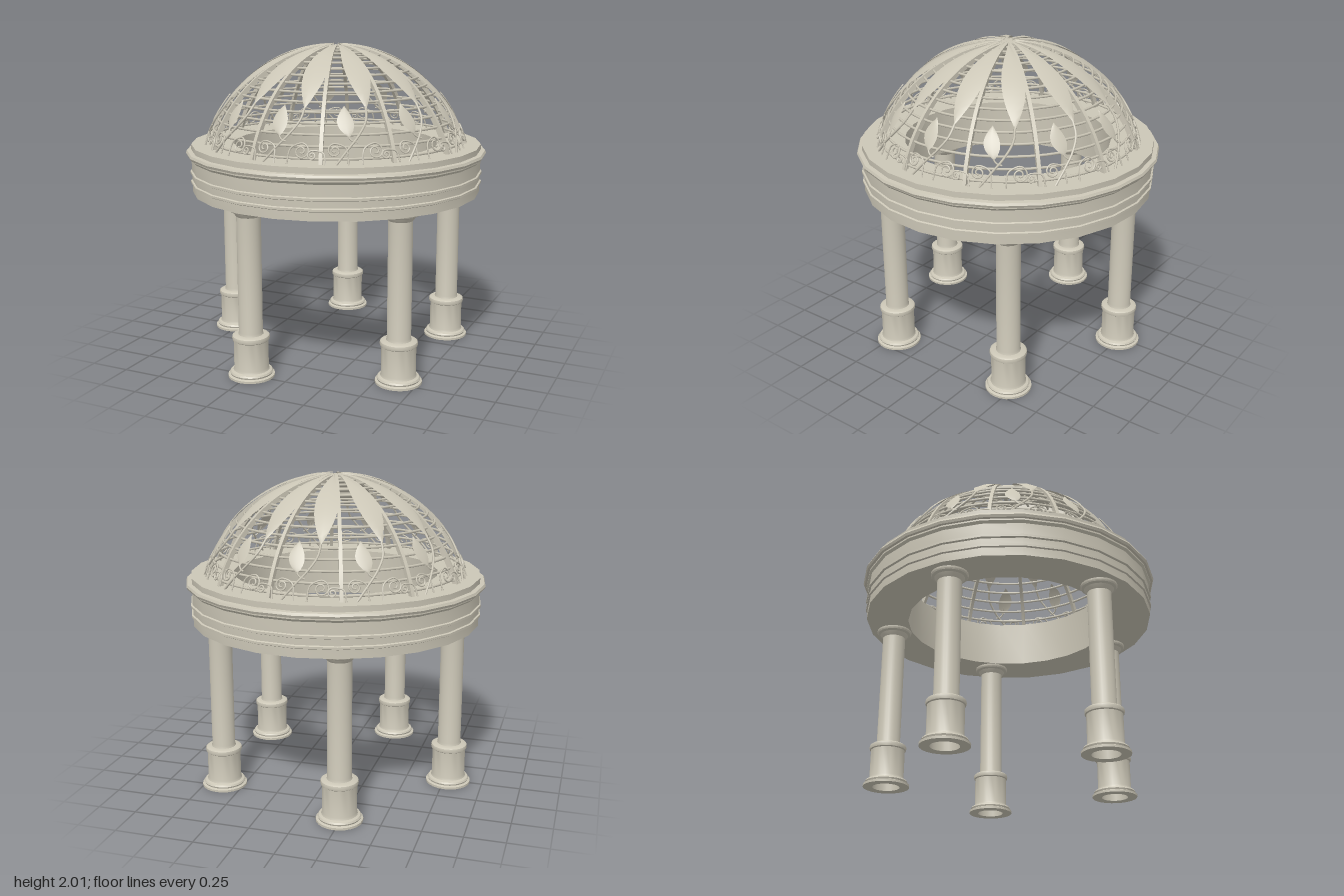
import * as THREE from 'three';
import { toCreasedNormals } from 'three/addons/utils/BufferGeometryUtils.js';

const RAD = Math.PI / 180;
const R = 0.875, CY = 1.121;      // dome sphere radius and centre height
const BAYS = 12, BAY0 = 3.5;      // bay count and heading of the first bay

const stone = new THREE.MeshStandardMaterial({ color: 0xcbc6b6 });
const leafMat = new THREE.MeshStandardMaterial({ color: 0xcbc6b6, side: THREE.DoubleSide });

// Point on the dome: heading from +z towards +x, polar angle from the crown (degrees)
function onDome(phi, theta, lift = 0) {
  const r = R + lift, s = Math.sin(theta * RAD) * r;
  return new THREE.Vector3(s * Math.sin(phi * RAD), CY + r * Math.cos(theta * RAD), s * Math.cos(phi * RAD));
}

function add(parent, name, geometry, material = stone) {
  const mesh = new THREE.Mesh(geometry, material);
  mesh.name = name;
  parent.add(mesh);
  return mesh;
}

function lathe(points, sides, start = 0) {
  const g = new THREE.LatheGeometry(points.map(p => new THREE.Vector2(p[0], p[1])), sides, start);
  return toCreasedNormals(g, 32 * RAD);
}

// Leaf lying on the dome along a line of headings and polar angles
function leafGeometry(from, to, halfWidth, skew, bow) {
  const n = 14, pos = [], idx = [];
  for (let i = 0; i <= n; i++) {
    const t = i / n;
    const theta = THREE.MathUtils.lerp(from[1], to[1], t);
    const phi = THREE.MathUtils.lerp(from[0], to[0], t) + bow * Math.sin(Math.PI * t);
    const w = 0.002 + halfWidth * Math.sin(Math.PI * Math.pow(t, skew));
    const side = Math.min(w / (R * Math.sin(theta * RAD)) / RAD, 14);
    for (const s of [-1, 0, 1]) pos.push(...onDome(phi + s * side, theta, s ? 0.008 : 0.014).toArray());
    if (i < n) for (let k = 0; k < 2; k++) {
      const a = i * 3 + k, b = a + 3;
      idx.push(a, b, a + 1, b, b + 1, a + 1);
    }
  }
  const g = new THREE.BufferGeometry();
  g.setAttribute('position', new THREE.Float32BufferAttribute(pos, 3));
  g.setIndex(idx);
  g.computeVertexNormals();
  return g;
}

function vine(points, radius, segments) {
  const curve = new THREE.CatmullRomCurve3(points.map(p => onDome(p[0], p[1], 0.006)));
  return new THREE.TubeGeometry(curve, segments, radius, 6);
}

// Spiral of vine ending in a tail on the ring
function scroll(phi, theta, size, dir) {
  const pts = [];
  for (let i = 0; i <= 22; i++) {
    const t = i / 22, a = Math.PI * (0.5 + 3.2 * (1 - t)), r = size * (0.2 + 0.8 * t);
    pts.push([phi + dir * Math.cos(a) * r / (R * Math.sin(theta * RAD)) / RAD,
      theta - Math.sin(a) * r / R / RAD]);
  }
  pts.push([phi + dir * 4.5, theta - 1], [phi + dir * 5.5, 73]);
  return vine(pts, 0.005, 50);
}

function column() {
  return lathe([
    [0.085, 0], [0.145, 0], [0.145, 0.014], [0.13, 0.02], [0.134, 0.03], [0.128, 0.04], [0.112, 0.046],
    [0.107, 0.06], [0.107, 0.235], [0.114, 0.24], [0.117, 0.253], [0.114, 0.266], [0.104, 0.273],
    [0.078, 0.275], [0.074, 0.29], [0.074, 1.02], [0.082, 1.03], [0.092, 1.045], [0.108, 1.052],
    [0.113, 1.06], [0.113, 1.08], [0.06, 1.08], [0.06, 0.26], [0.085, 0.25], [0.085, 0],
  ], 24);
}

export function createModel() {
  const model = new THREE.Group();
  model.name = 'gazebo';

  // Five columns on a pentagon
  const columnGeo = column();
  for (let i = 0; i < 5; i++) {
    const a = (180 + 72 * i) * RAD;
    add(model, 'column', columnGeo).position.set(0.776 * Math.cos(a), 0, 0.776 * Math.sin(a));
  }

  // Moulded ring beam
  add(model, 'ringBeam', lathe([
    [0.66, 1.072], [0.93, 1.072], [0.93, 1.125], [0.94, 1.13], [0.94, 1.143], [0.93, 1.148],
    [0.93, 1.187], [0.942, 1.192], [0.942, 1.206], [0.932, 1.211], [0.932, 1.285], [0.945, 1.3],
    [0.945, 1.31], [0.96, 1.312], [0.967, 1.327], [0.96, 1.342], [0.932, 1.345], [0.932, 1.38],
    [0.66, 1.38], [0.66, 1.072],
  ], 24, 2 * RAD));

  const dome = new THREE.Group();
  dome.name = 'dome';
  model.add(dome);

  // Curved ribs of rectangular section
  const arc = new THREE.Shape();
  arc.absarc(0, 0, R + 0.004, 16.8 * RAD, Math.PI / 2, false);
  arc.absarc(0, 0, R - 0.026, Math.PI / 2, 16.8 * RAD, true);
  const ribGeo = toCreasedNormals(
    new THREE.ExtrudeGeometry(arc, { depth: 0.022, bevelEnabled: false, curveSegments: 24 })
      .translate(0, 0, -0.011), 30 * RAD);

  // Horizontal hoops
  for (let i = 1; i <= 15; i++) {
    const theta = i * 4.7;
    const p = onDome(0, theta, -0.012);
    const hoop = add(dome, 'hoop', new THREE.TorusGeometry(p.z, 0.008, 6, 48));
    hoop.rotation.x = Math.PI / 2;
    hoop.position.y = p.y;
  }
  add(dome, 'crownDisc', new THREE.CylinderGeometry(0.035, 0.035, 0.02, 24)).position.y = 1.989;

  // Leaves and vines of one bay, repeated around the dome
  const parts = [
    ['largeLeaf', leafGeometry([5, 3], [5.8, 51], 0.068, 1.4, 0.8), leafMat],
    ['smallLeaf', leafGeometry([-3.5, 62.5], [-5, 49.7], 0.045, 0.85, -0.6), leafMat],
    ['stem', vine([[5.8, 50], [4.6, 56], [0.5, 62], [-4, 67], [-9, 73]], 0.007, 24), stone],
    ['leafStalk', vine([[0, 64.5], [-2, 64], [-3.5, 62.5], [-3.9, 59]], 0.005, 10), stone],
    ['leftScroll', scroll(7, 68, 0.048, -1), stone],
    ['rightScroll', scroll(-9.5, 67.5, 0.04, 1), stone],
    ['smallScroll', scroll(11.5, 69.5, 0.028, 1), stone],
  ];
  for (let i = 0; i < BAYS; i++) {
    const heading = BAY0 + i * 360 / BAYS;
    add(dome, 'rib', ribGeo).position.y = CY;
    dome.children[dome.children.length - 1].rotation.y = (heading + 15 - 90) * RAD;
    const bay = new THREE.Group();
    bay.name = 'foliageBay';
    bay.rotation.y = heading * RAD;
    for (const [name, geometry, material] of parts) add(bay, name, geometry, material);
    dome.add(bay);
  }
  return model;
}
